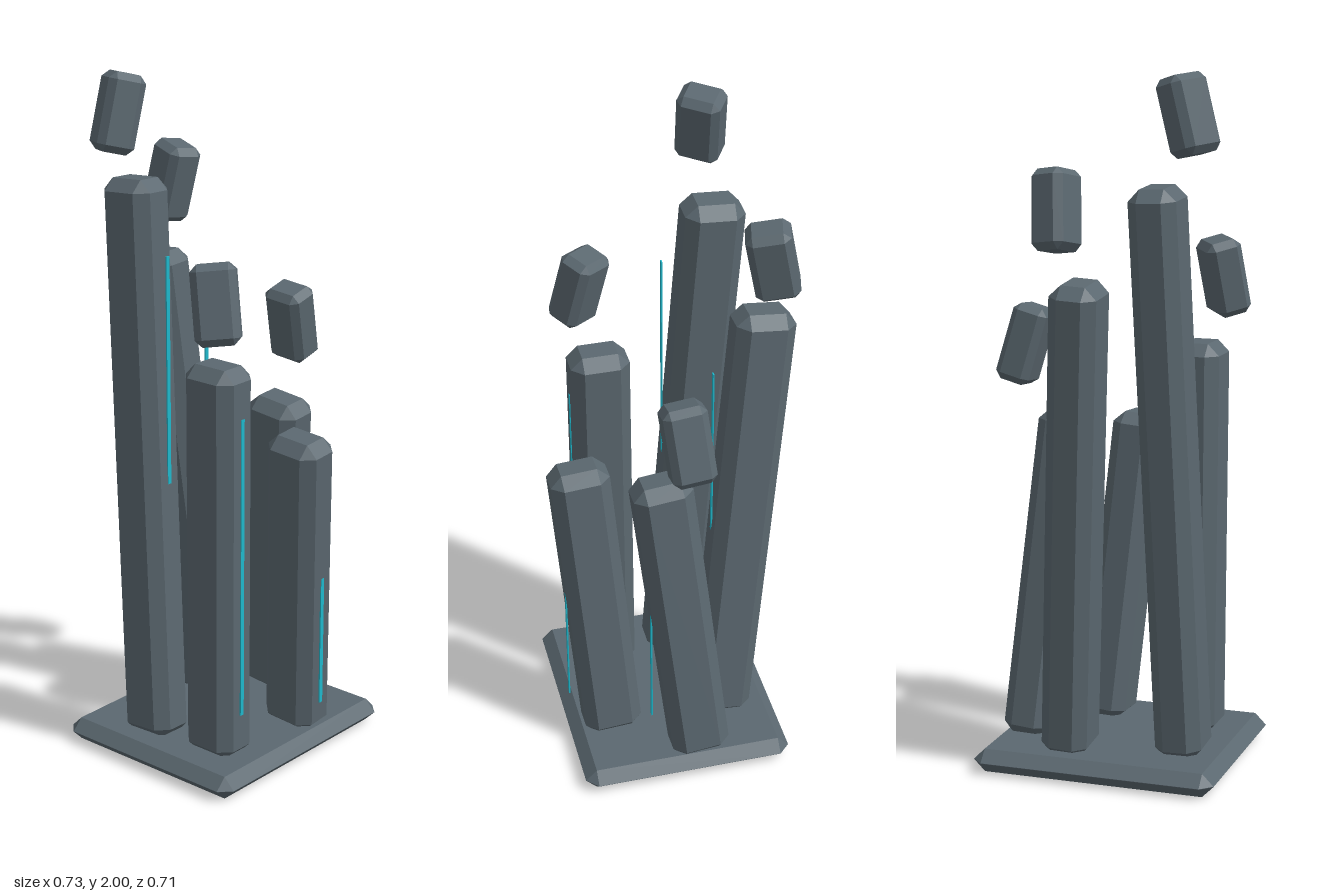
import * as THREE from 'three';
import { ConvexGeometry } from 'three/addons/geometries/ConvexGeometry.js';

// Box with every edge cut flat by c
function chamferBox(w, h, d, c) {
  const half = [w / 2, h / 2, d / 2];
  const points = [];
  for (const sx of [-1, 1]) for (const sy of [-1, 1]) for (const sz of [-1, 1]) {
    for (let axis = 0; axis < 3; axis++) {
      const p = half.map((v, i) => (i === axis ? v : v - c));
      points.push(new THREE.Vector3(p[0] * sx, p[1] * sy, p[2] * sz));
    }
  }
  return new ConvexGeometry(points);
}

export function createModel() {
  const group = new THREE.Group();
  const stone = new THREE.MeshStandardMaterial({ color: 0x5b6870 });
  stone.name = 'slateStone';
  const glow = new THREE.MeshStandardMaterial({ color: 0x1fb8cc });
  glow.name = 'cyanInlay';

  const add = (name, geometry, material) => {
    const mesh = new THREE.Mesh(geometry, material);
    mesh.name = name;
    group.add(mesh);
    return mesh;
  };

  // Chamfered block spanning two end centres, turned by yaw about its own axis
  const leaningBlock = (name, bottom, top, w, d, c, yaw = 0) => {
    const a = new THREE.Vector3(...bottom);
    const b = new THREE.Vector3(...top);
    const axis = b.clone().sub(a);
    const mesh = add(name, chamferBox(w, axis.length(), d, c), stone);
    const up = new THREE.Vector3(0, 1, 0);
    mesh.position.copy(a).add(b).multiplyScalar(0.5);
    mesh.quaternion.setFromUnitVectors(up, axis.normalize());
    mesh.quaternion.multiply(new THREE.Quaternion().setFromAxisAngle(up, THREE.MathUtils.degToRad(yaw)));
    return mesh;
  };

  // Base slab
  add('base', chamferBox(0.72, 0.068, 0.63, 0.0335), stone).position.set(-0.01, 0.034, 0.015);

  // Leaning pillars: bottom centre, top centre
  const pillars = [
    ['backLeftPillar', [0.102, 0.05, -0.137], [0.02, 1.43, -0.273]],
    ['backRightPillar', [-0.222, 0.05, -0.066], [-0.17, 1.687, -0.175]],
    ['frontRightPillar', [-0.196, 0.05, 0.152], [-0.2, 1.22, 0.155]],
    ['frontPillar', [0.102, 0.05, 0.2], [0.018, 0.982, 0.27]],
    ['leftPillar', [0.262, 0.05, -0.035], [0.178, 1.015, 0.067]],
  ];
  const depth = 0.173;
  for (const [name, bottom, top] of pillars) {
    const pillar = leaningBlock(name, bottom, top, 0.138, depth, 0.034);
    // Upright glowing inlay, partly sunk in the front face
    const strip = add(name + 'Inlay', new THREE.BoxGeometry(0.013, (top[1] - bottom[1]) * 0.76, 0.004), glow);
    strip.position.copy(pillar.position);
    strip.position.z += depth / 2 + 0.001;
  }

  // Floating fragments: bottom centre, top centre, yaw
  const fragments = [
    ['highFragment', [-0.279, 1.775, -0.163], [-0.225, 1.985, -0.155], -33],
    ['lowRightFragment', [-0.267, 1.3, 0.217], [-0.24, 1.515, 0.17], 38],
    ['backFragment', [0.076, 1.515, -0.296], [0.093, 1.733, -0.25], -15],
    ['leftFragment', [0.318, 1.1, 0.005], [0.258, 1.32, 0.026], 0],
  ];
  for (const [name, bottom, top, yaw] of fragments) {
    leaningBlock(name, bottom, top, 0.105, 0.125, 0.02, yaw);
  }

  return group;
}
